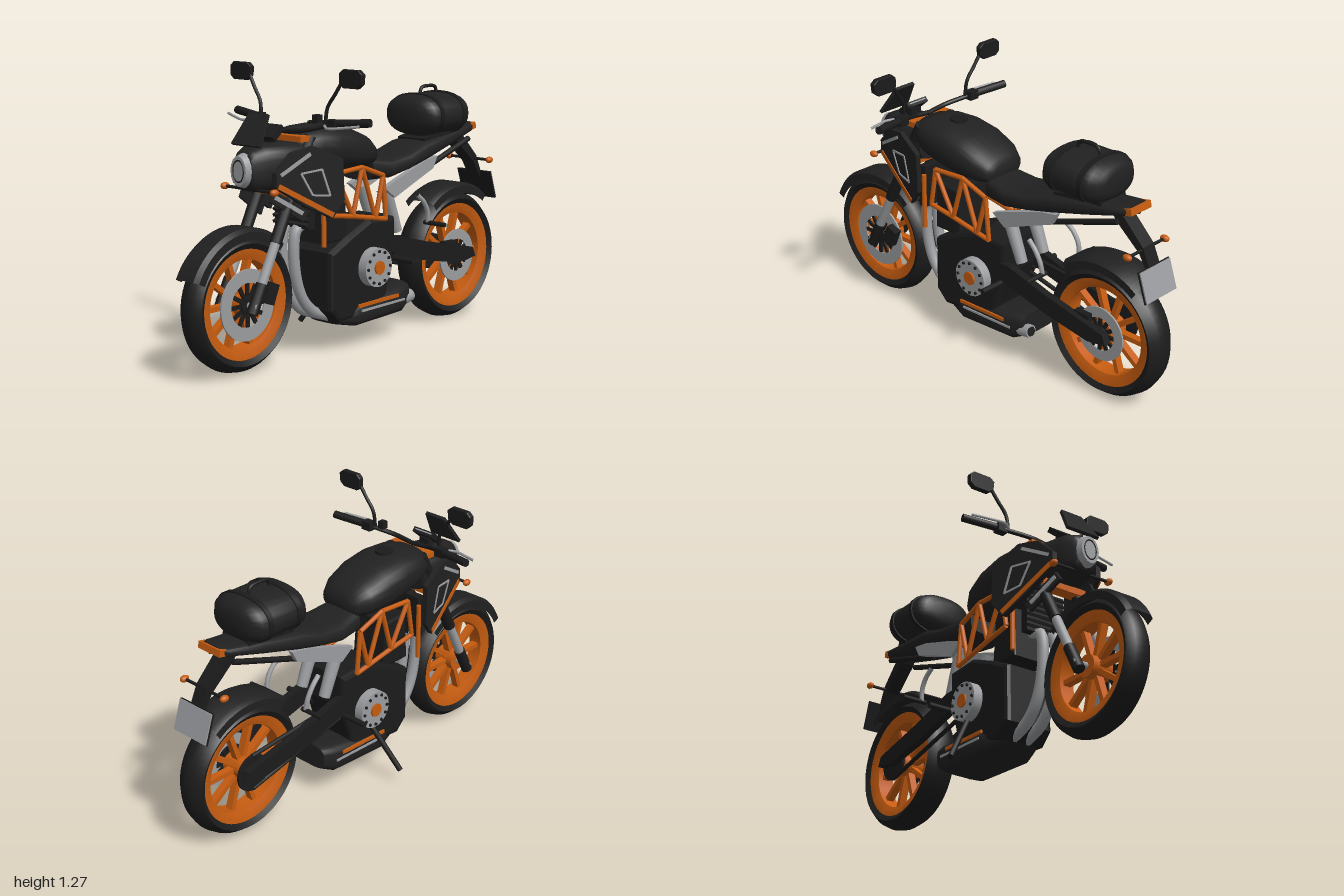
import * as THREE from 'three';
import { toCreasedNormals } from 'three/addons/utils/BufferGeometryUtils.js';

export function createModel() {
  const root = new THREE.Group();
  root.name = 'motorcycle';
  const mat = (name, color, side = THREE.FrontSide) => {
    const m = new THREE.MeshStandardMaterial({ color, side });
    m.name = name;
    return m;
  };
  const body = mat('charcoal body', 0x212121), metal = mat('black metal', 0x1b1b1b);
  const rubber = mat('rubber', 0x1c1c1c), shell = mat('thin shell', 0x202020, THREE.DoubleSide);
  const orange = mat('orange', 0xc65c10), silver = mat('silver', 0x9b9da0);
  const V = (p) => new THREE.Vector3(...p);

  function add(name, geo, m, pos = [0, 0, 0], rot = [0, 0, 0], scale = [1, 1, 1]) {
    const o = new THREE.Mesh(geo, m);
    o.name = name;
    o.position.set(...pos); o.rotation.set(...rot); o.scale.set(...scale);
    root.add(o);
    return o;
  }
  const box = (name, size, pos, m, rot) => add(name, new THREE.BoxGeometry(...size), m, pos, rot);
  // Round bar between two points
  function beam(name, a, b, r, m, r2 = r, seg = 12) {
    const A = V(a), B = V(b), d = B.clone().sub(A);
    const o = add(name, new THREE.CylinderGeometry(r2, r, d.length(), seg), m);
    o.position.copy(A).add(B).multiplyScalar(0.5);
    o.quaternion.setFromUnitVectors(new THREE.Vector3(0, 1, 0), d.normalize());
    return o;
  }
  const tube = (name, pts, r, m) =>
    add(name, new THREE.TubeGeometry(new THREE.CatmullRomCurve3(pts.map(V)), 28, r, 10), m);
  // Disc lying across x
  const disc = (name, r, w, pos, m, seg = 32) =>
    add(name, new THREE.CylinderGeometry(r, r, w, seg), m, pos, [0, 0, Math.PI / 2]);
  // Surface turned about the x axis; arc angles run from +z up to +y
  function turned(name, pts, pos, m, start = 0, len = Math.PI * 2) {
    const g = new THREE.LatheGeometry(pts.map((p) => new THREE.Vector2(...p)), 56, start, len);
    return add(name, toCreasedNormals(g.rotateZ(Math.PI / 2), 0.6), m, pos);
  }
  // Plate outlined in (z, y), optionally splayed in x along z
  function plate(name, pts, x, d, m, splay = () => 0, bevel = 0) {
    const s = new THREE.Shape(pts.map(([z, y]) => new THREE.Vector2(-z, y)));
    const g = new THREE.ExtrudeGeometry(s, { depth: d, bevelEnabled: bevel > 0, bevelSize: bevel, bevelThickness: bevel, bevelOffset: -bevel, bevelSegments: 2 });
    g.translate(0, 0, -d / 2).rotateY(Math.PI / 2);
    const p = g.attributes.position;
    for (let i = 0; i < p.count; i++) p.setX(i, p.getX(i) + x + splay(p.getZ(i)));
    g.computeVertexNormals();
    return add(name, g, m);
  }
  // Loft along z from sections [z, yLow, yHigh, halfWidth], ordered back to front
  function loft(name, secs, m, e = 0.75, n = 28) {
    const pos = [], idx = [], pw = (v) => Math.sign(v) * Math.abs(v) ** e;
    secs.forEach(([z, y0, y1, w]) => {
      for (let j = 0; j < n; j++) {
        const t = (j / n) * Math.PI * 2;
        pos.push(w * pw(Math.cos(t)), (y0 + y1) / 2 + ((y1 - y0) / 2) * pw(Math.sin(t)), z);
      }
    });
    const L = secs.length - 1;
    for (let i = 0; i < L; i++) for (let j = 0; j < n; j++) {
      const a = i * n + j, b = i * n + (j + 1) % n;
      idx.push(a, b, b + n, a, b + n, a + n);
    }
    [0, L].forEach((i) => {
      const c = pos.length / 3, [z, y0, y1] = secs[i];
      pos.push(0, (y0 + y1) / 2, z);
      for (let j = 0; j < n; j++) {
        const a = i * n + j, b = i * n + (j + 1) % n;
        if (i) idx.push(c, a, b); else idx.push(c, b, a);
      }
    });
    const g = new THREE.BufferGeometry();
    g.setAttribute('position', new THREE.Float32BufferAttribute(pos, 3));
    g.setIndex(idx);
    g.computeVertexNormals();
    return add(name, toCreasedNormals(g, 0.75), m);
  }

  // Wheels with tyre, rim, spokes and brake disc
  function wheel(name, y, z, R, rim, w, discR) {
    const c = [0, y, z];
    turned(name + 'Tyre', [[rim, -w * 0.75], [rim + 0.025, -w * 0.97], [R - 0.03, -w * 0.9], [R - 0.008, -w * 0.5], [R, 0],
      [R - 0.008, w * 0.5], [R - 0.03, w * 0.9], [rim + 0.025, w * 0.97], [rim, w * 0.75], [rim, -w * 0.75]], c, rubber);
    const ri = rim - 0.045, rw = w * 0.76;
    turned(name + 'Rim', [[ri, -rw * 0.7], [rim, -rw], [rim + 0.004, -rw], [rim + 0.004, rw], [rim, rw], [ri, rw * 0.7], [ri, -rw * 0.7]], c, orange);
    disc(name + 'Hub', 0.05, 0.1, c, orange);
    for (let i = 0; i < 10; i++) {
      const a = (i / 10) * Math.PI * 2, r = (ri + 0.045) / 2;
      box(name + 'Spoke', [0.035, 0.022, ri - 0.03], [0, y + Math.sin(a) * r, z + Math.cos(a) * r], orange, [-a, 0, 0]);
    }
    const dx = w * 0.7 + 0.012, di = discR * 0.62;
    turned(name + 'BrakeDisc', [[di, -0.004], [discR, -0.004], [discR, 0.004], [di, 0.004], [di, -0.004]], [dx, y, z], silver);
    for (let i = 0; i < 6; i++)
      box(name + 'DiscCarrier', [0.008, 0.018, di * 2], [dx, y, z], metal, [(i * Math.PI) / 6, 0, 0]);
    disc(name + 'DiscCentre', 0.04, 0.02, [dx, y, z], metal);
    disc(name + 'Axle', 0.014, 0.24, c, silver, 16);
  }
  wheel('front', 0.302, 0.705, 0.296, 0.235, 0.066, 0.153);
  wheel('rear', 0.308, -0.684, 0.307, 0.248, 0.075, 0.125);

  // Mudguards
  const guard = (r, w) => [[r - 0.05, -w], [r - 0.015, -w], [r, -w * 0.7], [r, w * 0.7], [r - 0.015, w], [r - 0.05, w]];
  turned('frontMudguard', guard(0.324, 0.07), [0, 0.302, 0.705], shell, 0.45, 1.85);
  turned('rearMudguard', guard(0.35, 0.085), [0, 0.308, -0.684], shell, 0.93, 1.27);

  // Engine, belly and exhaust
  plate('engineBlock', [[0.26, 0.46], [0.14, 0.52], [0, 0.58], [-0.17, 0.57], [-0.17, 0.42], [-0.12, 0.25], [-0.1, 0.16], [0.2, 0.14], [0.26, 0.2]], 0, 0.2, metal, undefined, 0.02);
  plate('cylinder', [[0.27, 0.73], [0.14, 0.72], [0.12, 0.5], [0.28, 0.5]], 0, 0.17, metal, undefined, 0.01);
  loft('bellyPan', [[-0.28, 0.14, 0.25, 0.11], [-0.22, 0.11, 0.25, 0.13], [0.08, 0.1, 0.21, 0.13], [0.17, 0.12, 0.19, 0.1], [0.2, 0.14, 0.18, 0.07]], body, 0.5);
  beam('exhaustTip', [0.09, 0.165, -0.22], [0.09, 0.18, -0.31], 0.03, silver);
  beam('exhaustBore', [0.09, 0.179, -0.305], [0.09, 0.181, -0.312], 0.023, metal);
  for (const x of [-0.035, 0.035])
    tube('exhaustHeader', [[x, 0.6, 0.33], [x, 0.57, 0.39], [x, 0.42, 0.4], [x, 0.28, 0.36], [x, 0.2, 0.29], [x, 0.16, 0.19]], 0.025, silver);

  // Radiator
  box('radiator', [0.2, 0.2, 0.04], [0, 0.68, 0.36], metal);
  for (let i = 0; i < 7; i++) box('radiatorFin', [0.2, 0.012, 0.02], [0, 0.6 + i * 0.027, 0.385], body, [0.4, 0, 0]);

  // Tank, seat, headlamp housing
  loft('fuelTank', [[-0.07, 0.83, 0.89, 0.07], [-0.055, 0.81, 0.92, 0.11], [0, 0.8, 0.96, 0.14], [0.1, 0.8, 1.0, 0.157],
    [0.22, 0.82, 1.02, 0.157], [0.32, 0.84, 1.017, 0.145], [0.39, 0.87, 1.0, 0.12], [0.42, 0.9, 0.97, 0.08]], body, 0.8);
  disc('fuelCap', 0.04, 0.012, [0, 1.021, 0.22], metal).rotation.set(0, 0, 0);
  loft('seat', [[-0.81, 0.9, 0.94, 0.06], [-0.78, 0.89, 0.935, 0.075], [-0.6, 0.84, 0.91, 0.095], [-0.4, 0.79, 0.885, 0.12],
    [-0.28, 0.765, 0.845, 0.125], [-0.16, 0.74, 0.83, 0.12], [-0.04, 0.74, 0.85, 0.1]], body, 0.6);
  loft('headlampHousing', [[0.36, 0.8, 0.96, 0.11], [0.48, 0.77, 0.965, 0.125], [0.6, 0.76, 0.96, 0.09], [0.65, 0.77, 0.94, 0.066], [0.665, 0.79, 0.92, 0.055]], body, 0.65);
  add('headlamp', new THREE.CylinderGeometry(0.85, 1, 0.035, 16), silver, [0, 0.857, 0.676], [Math.PI / 2, 0, 0], [0.054, 1, 0.075]);
  add('headlampBezel', new THREE.TorusGeometry(0.035, 0.003, 8, 28), metal, [0, 0.857, 0.693], [0, 0, 0], [0.9, 1.3, 1]);
  const screen = new THREE.Shape([[-0.085, 0], [0.085, 0], [0.055, 0.15], [-0.055, 0.15]].map((p) => new THREE.Vector2(...p)));
  add('windscreen', new THREE.ExtrudeGeometry(screen, { depth: 0.015, bevelEnabled: false }), body, [0, 0.955, 0.64], [-0.56, 0, 0]);
  box('dashboard', [0.12, 0.025, 0.075], [0, 1.005, 0.515], metal, [0.7, 0, 0]);
  box('dashboardDisplay', [0.095, 0.006, 0.055], [0, 1.017, 0.505], silver, [0.7, 0, 0]);
  box('dashboardMount', [0.05, 0.06, 0.04], [0, 0.97, 0.51], metal);
  box('topClamp', [0.23, 0.025, 0.06], [0, 0.975, 0.41], orange);
  box('lowerClamp', [0.23, 0.03, 0.06], [0, 0.755, 0.485], orange);

  // Luggage roll with straps and handle
  const roll = [[-0.7, 0.07], [-0.69, 0.115], [-0.66, 0.147], [-0.63, 0.155], [-0.45, 0.155], [-0.415, 0.147], [-0.39, 0.115], [-0.38, 0.07]];
  loft('luggageRoll', roll.map(([z, w]) => [z, 1.0 - w * 0.61, 1.0 + w * 0.61, w]), body, 0.85);
  for (const z of [-0.46, -0.62]) loft('luggageStrap', [[z - 0.012, 0.9, 1.1, 0.16], [z + 0.012, 0.9, 1.1, 0.16]], metal, 0.85);
  box('luggageBase', [0.16, 0.05, 0.26], [0, 0.895, -0.55], metal, [0.2, 0, 0]);
  tube('luggageHandle', [[0, 1.08, -0.48], [0, 1.12, -0.49], [0, 1.128, -0.54], [0, 1.12, -0.59], [0, 1.08, -0.6]], 0.008, metal);

  const splay = (s) => (z) => s * (0.185 - 0.25 * (z - 0.33));
  const strip = ([z1, y1], [z2, y2], w) => {
    const l = Math.hypot(z2 - z1, y2 - y1), a = (-(y2 - y1) / l) * w / 2, b = ((z2 - z1) / l) * w / 2;
    return [[z1 + a, y1 + b], [z2 + a, y2 + b], [z2 - a, y2 - b], [z1 - a, y1 - b]];
  };
  for (const s of [-1, 1]) {
    // Side fairing with its painted lines
    plate('sideFairing', [[0.6, 0.85], [0.52, 0.93], [0.42, 0.95], [0.28, 0.89], [0.272, 0.71], [0.33, 0.635], [0.46, 0.7], [0.6, 0.79]], 0, 0.025, body, splay(s));
    const line = (name, p, q, w, m) => plate(name, strip(p, q, w), s * 0.014, 0.006, m, splay(s));
    line('orangeStripe', [0.59, 0.795], [0.33, 0.65], 0.022, orange);
    line('upperStripe', [0.58, 0.84], [0.44, 0.92], 0.015, silver);
    const quad = [[0.485, 0.84], [0.385, 0.85], [0.345, 0.735], [0.43, 0.745]];
    quad.forEach((p, i) => line('fairingOutline', p, quad[(i + 1) % 4], 0.008, silver));
    plate('lowerFairing', strip([0.59, 0.75], [0.43, 0.65], 0.05), 0, 0.015, body, (z) => splay(s)(z) - s * 0.03);
    plate('lowerStripe', strip([0.58, 0.745], [0.45, 0.665], 0.018), s * -0.02, 0.006, silver, splay(s));

    // Fork
    const f = (y) => [s * 0.097, y, 0.702 - 0.5 * (y - 0.3)];
    beam('forkFoot', f(0.27), f(0.39), 0.026, metal);
    beam('forkSlider', f(0.385), f(0.55), 0.021, silver);
    beam('forkTube', f(0.55), f(0.98), 0.027, metal);

    // Handlebar, grip, lever and mirror
    tube('handlebar', [[0, 1.0, 0.41], [s * 0.1, 1.01, 0.41], [s * 0.18, 1.03, 0.375], [s * 0.26, 1.045, 0.345]], 0.011, metal);
    beam('grip', [s * 0.24, 1.043, 0.35], [s * 0.395, 1.055, 0.315], 0.018, rubber);
    box('switchBlock', [0.05, 0.04, 0.04], [s * 0.22, 1.04, 0.355], metal);
    tube('lever', [[s * 0.2, 1.035, 0.385], [s * 0.25, 1.03, 0.42], [s * 0.31, 1.035, 0.405], [s * 0.39, 1.045, 0.375]], 0.006, silver);
    tube('mirrorStem', [[s * 0.19, 1.03, 0.37], [s * 0.2, 1.11, 0.365], [s * 0.24, 1.17, 0.36], [s * 0.275, 1.225, 0.355]], 0.008, metal);
    const mirror = new THREE.Shape([[-0.06, -0.018], [-0.04, -0.036], [0.035, -0.036], [0.058, -0.018], [0.062, 0.02], [0.042, 0.036], [-0.042, 0.036], [-0.06, 0.02]].map((p) => new THREE.Vector2(...p)));
    add('mirror', new THREE.ExtrudeGeometry(mirror, { depth: 0.014, bevelSize: 0.003, bevelThickness: 0.006 }), metal, [s * 0.325, 1.235, 0.345]);

    // Indicators
    for (const [y, z, x] of [[0.775, 0.63, 0.148], [0.755, -0.86, 0.122]]) {
      beam('indicatorStem', [s * 0.02, y, z], [s * x, y, z], 0.007, metal);
      add('indicator', new THREE.SphereGeometry(0.017, 14, 10), orange, [s * x, y, z], [0, 0, 0], [0.9, 0.9, 1.3]);
    }

    // Trellis frame
    const T = [[0.24, 0.81], [0.07, 0.82], [-0.07, 0.77]], B = [[0.27, 0.63], [0.13, 0.61], [-0.02, 0.58], [-0.09, 0.57]];
    [[T[0], T[1]], [T[1], T[2]], [B[0], B[1]], [B[1], B[3]], [B[0], T[0]], [T[0], B[1]], [B[1], T[1]], [T[1], B[2]], [B[2], T[2]], [T[2], B[3]], [[0.316, 0.76], [0.316, 0.5]]]
      .forEach(([p, q]) => beam('trellisTube', [s * 0.13, p[1], p[0]], [s * 0.13, q[1], q[0]], 0.011, orange));

    // Crankcase cover with bolts
    disc('engineCover', 0.088, 0.06, [s * 0.135, 0.365, -0.005], silver);
    disc('coverCap', 0.032, 0.012, [s * 0.168, 0.365, -0.005], orange, 8);
    for (let i = 0; i < 12; i++) {
      const a = (i / 12) * Math.PI * 2;
      disc('coverBolt', 0.007, 0.012, [s * 0.165, 0.365 + Math.sin(a) * 0.073, -0.005 + Math.cos(a) * 0.073], metal, 8);
    }
    plate('bellyStripe', strip([0.09, 0.2], [-0.18, 0.205], 0.015), s * 0.13, 0.009, orange);
    plate('bellyTrim', strip([0.07, 0.175], [-0.22, 0.18], 0.01), s * 0.13, 0.009, silver);

    // Swingarm, shock and subframe
    plate('swingarm', [[-0.1, 0.48], [-0.2, 0.475], [-0.42, 0.415], [-0.74, 0.345], [-0.76, 0.3], [-0.66, 0.285], [-0.42, 0.325], [-0.16, 0.39]], s * 0.105, 0.035, metal);
    beam('shock', [s * 0.07, 0.7, -0.15], [s * 0.07, 0.49, -0.235], 0.032, silver, 0.026);
    plate('subframeRail', [[-0.1, 0.705], [-0.18, 0.735], [-0.38, 0.8], [-0.47, 0.815], [-0.44, 0.76], [-0.31, 0.71], [-0.17, 0.655]], s * 0.105, 0.025, silver);
    beam('tailRail', [s * 0.08, 0.735, -0.36], [s * 0.07, 0.865, -0.76], 0.013, metal);
    tube('heelGuard', [[s * 0.12, 0.65, -0.32], [s * 0.125, 0.615, -0.36], [s * 0.125, 0.565, -0.39], [s * 0.12, 0.51, -0.4]], 0.011, silver);
    beam('riderPeg', [s * 0.08, 0.38, -0.155], [s * 0.24, 0.38, -0.155], 0.013, rubber);
    beam('passengerPeg', [s * 0.1, 0.51, -0.4], [s * 0.222, 0.51, -0.4], 0.011, rubber);
  }

  // Right-hand and left-hand running gear
  box('frontCaliper', [0.04, 0.09, 0.06], [0.08, 0.34, 0.6], metal, [-0.4, 0, 0]);
  box('rearCaliper', [0.035, 0.06, 0.08], [0.08, 0.36, -0.6], metal);
  box('brakeReservoir', [0.03, 0.035, 0.03], [0.145, 1.06, 0.37], metal);
  disc('sprocket', 0.085, 0.012, [-0.082, 0.308, -0.684], metal);
  for (const y of [0.08, -0.08]) beam('chainRun', [-0.082, 0.308 + y, -0.684], [-0.082, 0.4 + y * 0.5, -0.12], 0.01, metal);
  beam('kickstand', [-0.13, 0.29, -0.01], [-0.265, 0.065, 0.055], 0.013, metal);

  // Tail lamp, plate arm and rear plate
  box('tailLamp', [0.13, 0.03, 0.035], [0, 0.92, -0.808], orange, [0.2, 0, 0]);
  plate('plateArm', [[-0.7, 0.89], [-0.75, 0.89], [-0.87, 0.77], [-0.92, 0.66], [-0.9, 0.66], [-0.85, 0.74], [-0.72, 0.85]], 0, 0.07, metal);
  box('plateBacking', [0.2, 0.14, 0.008], [0, 0.625, -0.922], metal, [0.32, 0, 0]);
  box('rearPlate', [0.195, 0.135, 0.006], [0, 0.627, -0.929], silver, [0.32, 0, 0]);
  return root;
}
